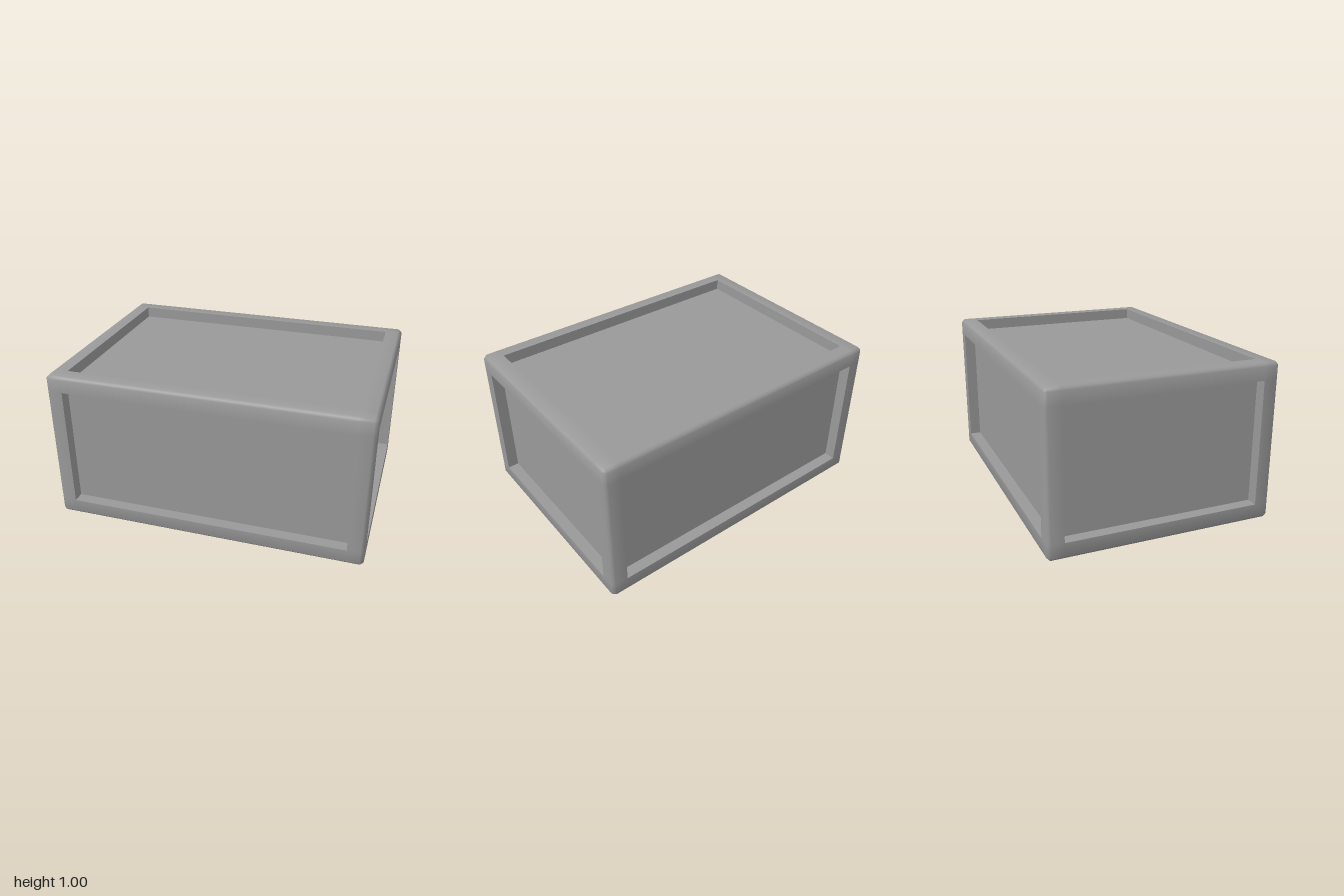
import * as THREE from 'three';

const HALF = [1, 0.4975, 0.716];      // half sizes along x, y, z
const BORDER = [0.104, 0.105, 0.1];   // frame width along x, y, z
const DEPTH = 0.072;                  // how far the panels are sunk
const BEVEL = 0.022;                  // chamfer of the outer edges
const SOFT = 0.03;                    // softens the shading across the frame

// Point on one side of the box: u and v run across it, w along its outward axis
function place(axis, sign, u, v, w) {
  const p = [0, 0, 0];
  p[axis] = sign * w;
  p[(axis + 1) % 3] = u * sign;
  p[(axis + 2) % 3] = v;
  return p;
}

// Offset of a point from a box that is smaller by the given inset
const offset = (p, inset) =>
  p.map((c, i) => c - THREE.MathUtils.clamp(c, inset - HALF[i], HALF[i] - inset));

// Pull a point of the sharp box onto the chamfered box
function chamfered(p) {
  const d = offset(p, BEVEL);
  const scale = BEVEL / d.reduce((sum, c) => sum + Math.abs(c), 0);
  return p.map((c, i) => c - d[i] + d[i] * scale);
}

const quad = (out, a, b, c, d) => out.push(a, b, c, a, c, d);

function geometryFrom(points) {
  const g = new THREE.BufferGeometry();
  g.setAttribute('position', new THREE.Float32BufferAttribute(points.flat(), 3));
  g.computeVertexNormals();
  return g;
}

// Grid lines across a side: outer edge, chamfer, recess, and back again
function stops(axis) {
  const h = HALF[axis], b = BORDER[axis];
  return [-h, BEVEL - h, b - h, h - b, h - BEVEL, h];
}

export function createModel() {
  const model = new THREE.Group();
  model.name = 'panelledCrate';
  const material = new THREE.MeshStandardMaterial({ color: 0x999999 });
  const frame = [], walls = [], panels = [];

  for (let axis = 0; axis < 3; axis++) {
    for (const sign of [1, -1]) {
      const w = HALF[axis];
      const us = stops((axis + 1) % 3);
      const vs = stops((axis + 2) % 3);

      // Chamfered frame, open in the middle
      const at = (i, j) => chamfered(place(axis, sign, us[i], vs[j], w));
      for (let i = 0; i < 5; i++) {
        for (let j = 0; j < 5; j++) {
          if (i === 2 && j === 2) continue;
          quad(frame, at(i, j), at(i + 1, j), at(i + 1, j + 1), at(i, j + 1));
        }
      }

      // Recess walls and sunken panel
      const corners = [[2, 2], [3, 2], [3, 3], [2, 3]];
      const ring = (level) => corners.map(([i, j]) => place(axis, sign, us[i], vs[j], level));
      const rim = ring(w), floor = ring(w - DEPTH);
      for (let k = 0; k < 4; k++) {
        const n = (k + 1) % 4;
        quad(walls, rim[k], rim[n], floor[n], floor[k]);
      }
      quad(panels, ...floor);
    }
  }

  const add = (name, geometry) => {
    const mesh = new THREE.Mesh(geometry, material);
    mesh.name = name;
    mesh.position.y = HALF[1];
    model.add(mesh);
  };

  // Frame normals lean gently outward towards the edges
  const frameGeometry = geometryFrom(frame);
  const normals = frame.flatMap((p) => offset(p, SOFT));
  frameGeometry.setAttribute('normal', new THREE.Float32BufferAttribute(normals, 3));
  frameGeometry.normalizeNormals();

  add('chamferedFrame', frameGeometry);
  add('recessWalls', geometryFrom(walls));
  add('sunkenPanels', geometryFrom(panels));
  return model;
}
